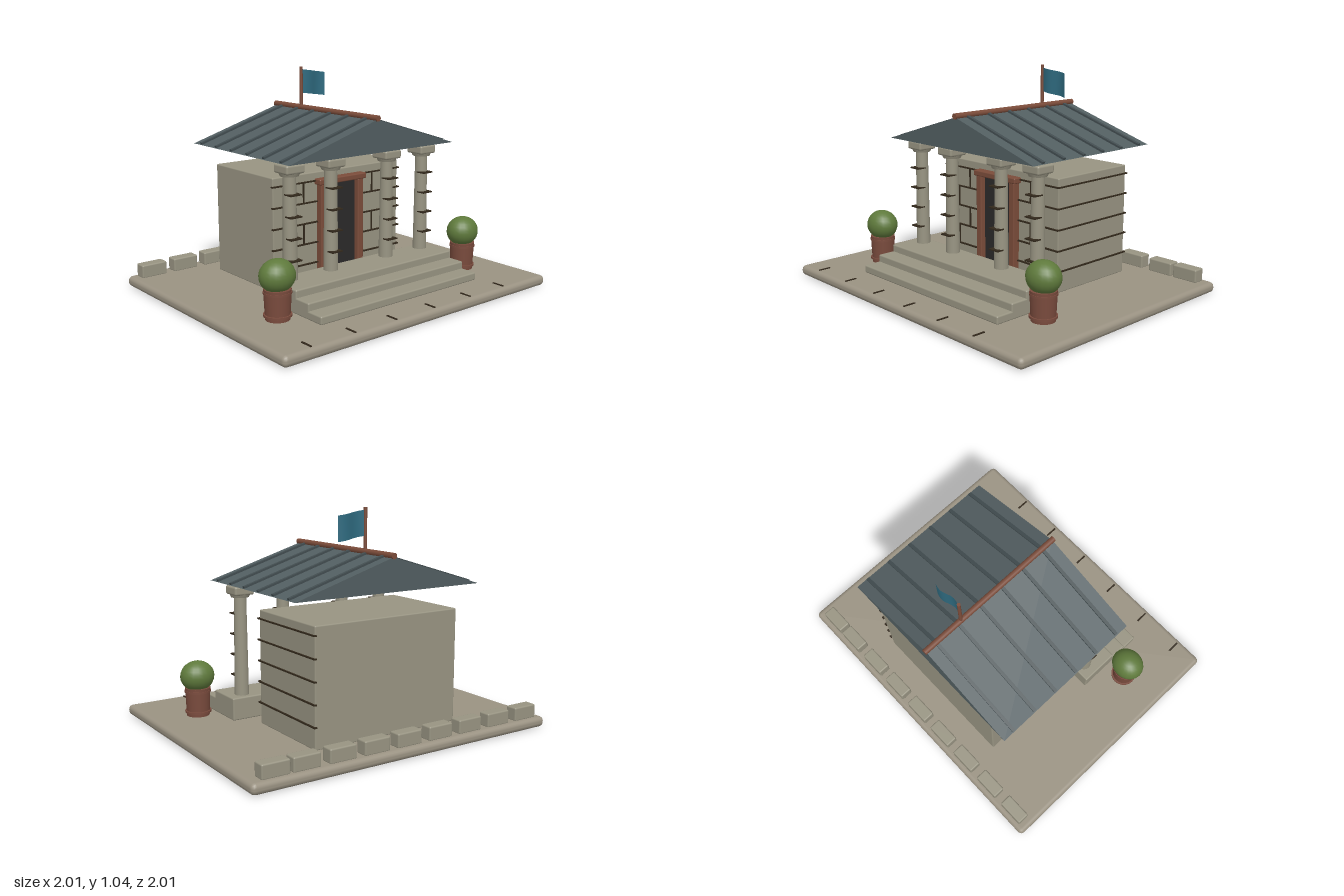
import * as THREE from 'three';
import { RoundedBoxGeometry } from 'three/addons/geometries/RoundedBoxGeometry.js';

const mat = (name, color, side = THREE.FrontSide) => {
  const m = new THREE.MeshStandardMaterial({ color, side });
  m.name = name;
  return m;
};

export function createModel() {
  const M = {
    paving: mat('paving stone', 0x9a9282),
    stone: mat('wall stone', 0x989482),
    joint: mat('dark joint', 0x33291c),
    slate: mat('roof slate', 0x525e61),
    rib: mat('roof rib', 0x424d50),
    wood: mat('red wood', 0x7b4c3a),
    pot: mat('clay pot', 0x7a4b3d),
    leaf: mat('leaf green', 0x5f7a3c),
    door: mat('door black', 0x2b2a2a),
    cloth: mat('teal cloth', 0x2f6b80, THREE.DoubleSide),
  };

  // The temple is laid out facing +z, then turned 45 degrees
  const temple = new THREE.Group();
  temple.name = 'temple';
  temple.rotation.y = Math.PI / 4;

  const add = (name, geo, material, x = 0, y = 0, z = 0, parent = temple) => {
    const mesh = new THREE.Mesh(geo, material);
    mesh.name = name;
    mesh.position.set(x, y, z);
    parent.add(mesh);
    return mesh;
  };
  const box = (name, m, x0, x1, y0, y1, z0, z1, parent) =>
    add(name, new THREE.BoxGeometry(x1 - x0, y1 - y0, z1 - z0), m,
      (x0 + x1) / 2, (y0 + y1) / 2, (z0 + z1) / 2, parent);
  const soft = (name, m, w, h, d, r, x, y, z, parent) =>
    add(name, new RoundedBoxGeometry(w, h, d, 2, r), m, x, y, z, parent);
  const cyl = (name, m, rTop, rBottom, y0, y1, x, z, parent) =>
    add(name, new THREE.CylinderGeometry(rTop, rBottom, y1 - y0, 20), m, x, (y0 + y1) / 2, z, parent);

  // Paved base with short joints along its front edge
  soft('base', M.paving, 1.574, 0.05, 1.29, 0.022, 0, 0.025, 0);
  for (let i = 0; i < 6; i++) {
    const x = 0.495 - i * 0.228;
    box('pavingJoint', M.joint, x - 0.004, x + 0.004, 0.045, 0.054, 0.565, 0.625);
  }

  // Row of low blocks along the back edge
  for (let i = 0; i < 9; i++) {
    const x = i < 8 ? -0.68 + i * 0.172 : 0.667;
    soft('borderBlock', M.stone, 0.13, 0.065, 0.06, 0.007, x, 0.079, -0.59);
  }

  // Chamber
  soft('chamber', M.stone, 0.764, 0.535, 0.466, 0.006, 0, 0.3155, -0.219);
  const courses = [0.15, 0.248, 0.346, 0.444, 0.542];
  courses.forEach((y, row) => {
    box('sideJoint', M.joint, 0.376, 0.39, y - 0.003, y + 0.003, -0.458, 0.016);
    for (const s of [-1, 1]) {
      const [a, b] = s < 0 ? [-0.388, -0.13] : [0.13, 0.388];
      box('frontJoint', M.joint, a, b, y - 0.003, y + 0.003, 0.008, 0.024);
      if (row < 4) {
        const x = s * (row % 2 ? 0.21 : 0.29);
        box('uprightJoint', M.joint, x - 0.003, x + 0.003, y, y + 0.098, 0.008, 0.02);
      }
    }
  });

  // Doorway
  box('door', M.door, -0.1, 0.1, 0.06, 0.525, 0.01, 0.022);
  for (const s of [-1, 1]) soft('doorPost', M.wood, 0.035, 0.475, 0.045, 0.006, s * 0.113, 0.29, 0.026);
  soft('lintel', M.wood, 0.285, 0.028, 0.055, 0.006, 0, 0.538, 0.028);

  // Three steps
  for (let i = 0; i < 3; i++) {
    const front = 0.474 - i * 0.085;
    soft('step', M.stone, 0.948, 0.038 + i * 0.035, front - 0.11, 0.007,
      0, 0.048 + (0.038 + i * 0.035) / 2, (front + 0.11) / 2);
  }

  // Columns with thin dark drum joints reaching forward
  for (const x of [-0.4, -0.17, 0.17, 0.4]) {
    const column = new THREE.Group();
    column.name = 'column';
    column.position.set(x, 0, 0.165);
    temple.add(column);
    cyl('shaft', M.stone, 0.029, 0.034, 0.15, 0.632, 0, 0, column);
    cyl('neck', M.stone, 0.05, 0.042, 0.622, 0.642, 0, 0, column);
    soft('capital', M.stone, 0.1, 0.042, 0.1, 0.01, 0, 0.655, 0, column);
    for (const y of courses.slice(1)) box('drumJoint', M.joint, -0.03, 0.03, y - 0.003, y + 0.003, 0, 0.05, column);
  }

  // Gabled roof
  const W = 0.49, EAVE = 0.692, RIDGE = 0.842, BACK = -0.475, FRONT = 0.285;
  const gable = new THREE.Shape([
    new THREE.Vector2(-W, EAVE), new THREE.Vector2(W, EAVE), new THREE.Vector2(0, RIDGE),
  ]);
  add('roof', new THREE.ExtrudeGeometry(gable, { depth: FRONT - BACK, bevelEnabled: false }), M.slate, 0, 0, BACK);
  const slope = Math.atan2(RIDGE - EAVE, W), run = Math.hypot(W, RIDGE - EAVE);
  for (const s of [-1, 1]) {
    for (let i = 0; i < 6; i++) {
      const rib = add('roofRib', new THREE.BoxGeometry(run - 0.01, 0.012, 0.016), M.rib,
        s * W / 2, (EAVE + RIDGE) / 2 + 0.003, -0.415 + i * 0.127);
      rib.rotation.z = -s * slope;
    }
  }
  const ridge = add('ridgeBeam', new THREE.CylinderGeometry(0.014, 0.014, 0.775, 12), M.wood, 0, 0.848, -0.095);
  ridge.rotation.x = Math.PI / 2;

  // Flag, drooping slightly away from its pole
  cyl('flagPole', M.wood, 0.008, 0.008, 0.845, 1.045, 0, -0.27);
  const flag = new THREE.PlaneGeometry(0.14, 0.115, 8, 1);
  const p = flag.attributes.position;
  for (let i = 0; i < p.count; i++) {
    const t = p.getX(i) / 0.14 + 0.5;
    p.setY(i, p.getY(i) - 0.02 * t);
    p.setZ(i, 0.008 * Math.sin(t * Math.PI * 2));
  }
  flag.computeVertexNormals();
  add('flag', flag, M.cloth, 0.076, 0.975, -0.27);

  // Potted shrubs beside the steps
  for (const s of [-1, 1]) {
    const planter = new THREE.Group();
    planter.name = 'planter';
    planter.position.set(s * 0.566, 0, 0.297);
    temple.add(planter);
    cyl('pot', M.pot, 0.06, 0.054, 0.05, 0.185, 0, 0, planter);
    for (const y of [0.07, 0.168]) cyl('potBand', M.pot, 0.062, 0.062, y - 0.005, y + 0.005, 0, 0, planter);
    add('shrub', new THREE.SphereGeometry(0.076, 20, 14), M.leaf, 0, 0.24, 0, planter).scale.set(1.08, 0.96, 0.96);
  }

  const model = new THREE.Group();
  model.name = 'model';
  model.add(temple);
  return model;
}
